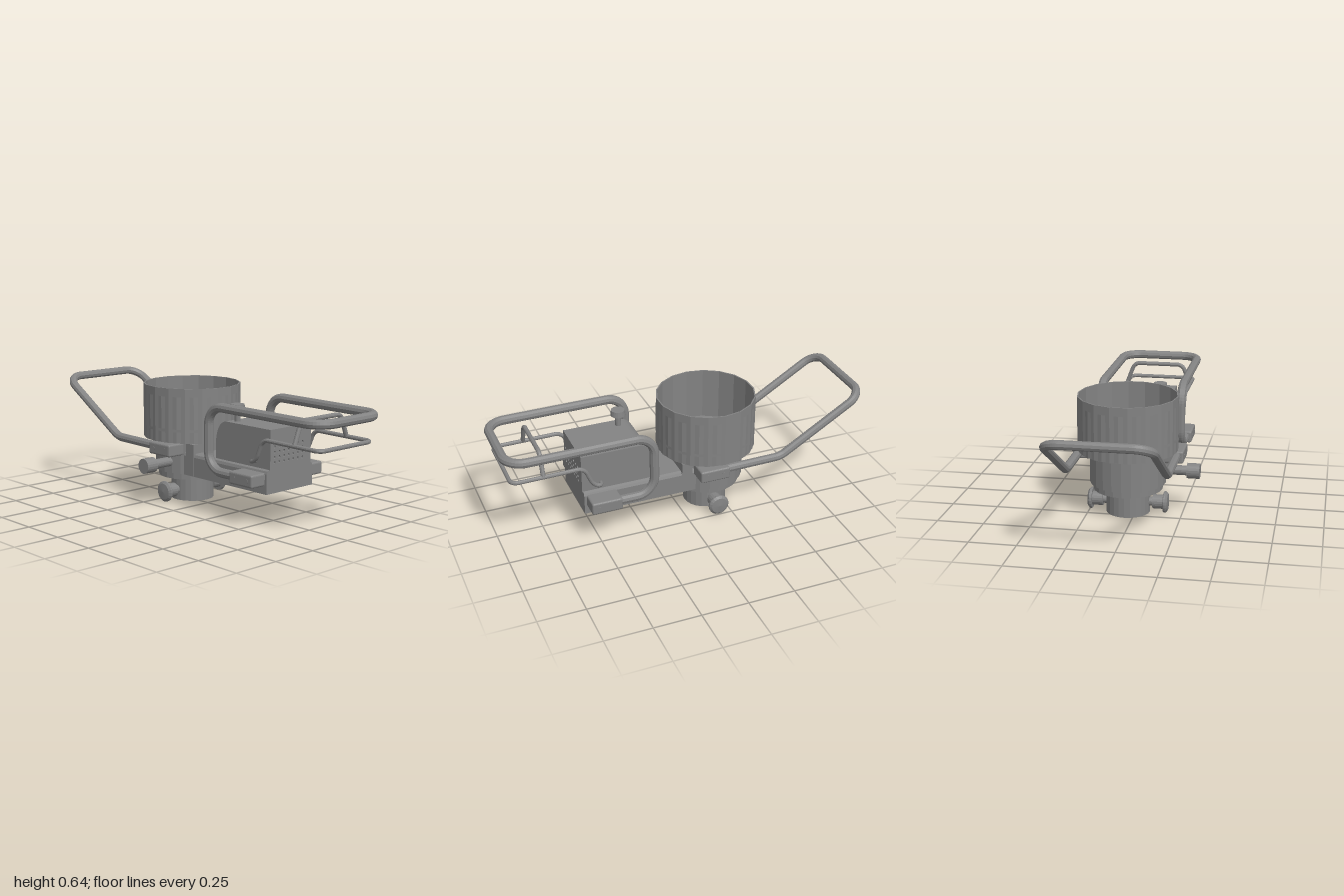
import * as THREE from 'three';
import { RoundedBoxGeometry } from 'three/addons/geometries/RoundedBoxGeometry.js';

const CX = -0.173, CZ = -0.042; // drum axis; CZ is also the mirror plane
const metal = new THREE.MeshStandardMaterial({ color: 0x838383, flatShading: true });
const metalThin = new THREE.MeshStandardMaterial({ color: 0x838383, flatShading: true, side: THREE.DoubleSide });
const V = (x, y, z) => new THREE.Vector3(x, y, z);

export function createModel() {
  const model = new THREE.Group();
  model.name = 'clampDevice';

  const add = (name, geometry, x = 0, y = 0, z = 0, material = metal) => {
    const mesh = new THREE.Mesh(geometry, material);
    mesh.name = name;
    mesh.position.set(x, y, z);
    model.add(mesh);
    return mesh;
  };

  // Vertical cylinder on the drum axis between two heights
  const disc = (name, r, y0, y1, sides = 24) =>
    add(name, new THREE.CylinderGeometry(r, r, y1 - y0, sides), CX, (y0 + y1) / 2, CZ);

  // Tube through points; bend(p) gives how far the corner at p is rounded off
  const rail = (name, points, radius, bend, segments) => {
    const path = new THREE.CurvePath();
    let last = points[0];
    for (let i = 1; i < points.length - 1; i++) {
      const p = points[i];
      const toward = q => p.clone().add(q.clone().sub(p).setLength(Math.min(bend(p), q.distanceTo(p) * 0.49)));
      const a = toward(points[i - 1]), b = toward(points[i + 1]);
      path.add(new THREE.LineCurve3(last, a));
      path.add(new THREE.CubicBezierCurve3(a, a.clone().lerp(p, 0.55), b.clone().lerp(p, 0.55), b));
      last = b;
    }
    path.add(new THREE.LineCurve3(last, points[points.length - 1]));
    add(name, new THREE.TubeGeometry(path, segments, radius, 10), 0, 0, 0, metalThin);
  };

  // Half a rail plus its mirror image across the plane z = c
  const mirrored = (half, c = CZ) => [...half, ...half.map(p => V(p.x, p.y, 2 * c - p.z)).reverse()];

  // Turned knob pointing along z; profile is [radius, distance] pairs
  const knob = (name, profile, x, y, z, dir) => {
    const g = new THREE.LatheGeometry(profile.map(p => new THREE.Vector2(...p)), 20);
    add(name, g, x, y, z).rotation.x = dir * Math.PI / 2;
  };

  // Base spigot, flange and round body
  disc('baseSpigot', 0.118, 0, 0.14);
  disc('baseFlange', 0.186, 0.135, 0.172);
  disc('roundBody', 0.203, 0.17, 0.352);

  // Open drum: thin shell with a floor
  const shell = [[0, 0.35], [0.267, 0.35], [0.267, 0.645], [0.26, 0.645], [0.26, 0.36], [0, 0.36]]
    .map(p => new THREE.Vector2(...p));
  add('drum', new THREE.LatheGeometry(shell, 18), CX, 0, CZ, metalThin);

  // Sleeves set into the drum wall, their corners just breaking its surface
  for (const [y0, y1] of [[0.352, 0.41], [0.425, 0.6]]) {
    const sleeve = new THREE.CylinderGeometry(0.267, 0.267, y1 - y0, 18, 1, true, Math.PI / 18);
    add('drumSleeve', sleeve, CX, (y0 + y1) / 2, CZ);
  }

  // Arm with chamfered top edges
  const armShape = new THREE.Shape();
  [[-0.169, 0.17], [0.169, 0.17], [0.169, 0.275], [0.163, 0.289], [0.15, 0.295],
    [-0.15, 0.295], [-0.163, 0.289], [-0.169, 0.275]]
    .forEach(([u, v], i) => (i ? armShape.lineTo(u, v) : armShape.moveTo(u, v)));
  const armGeo = new THREE.ExtrudeGeometry(armShape, { depth: 0.623, bevelEnabled: false });
  armGeo.rotateY(Math.PI / 2);
  add('arm', armGeo, -0.05, 0, CZ);
  add('armBracket', new THREE.BoxGeometry(0.06, 0.173, 0.345), 0, 0.2585, CZ);

  // Housing with a rounded rear shoulder
  const side = new THREE.Shape();
  side.moveTo(0.18, 0.29);
  side.lineTo(0.567, 0.29);
  side.lineTo(0.567, 0.5);
  side.lineTo(0.25, 0.5);
  side.quadraticCurveTo(0.19, 0.485, 0.18, 0.39);
  add('housing', new THREE.ExtrudeGeometry(side, { depth: 0.298, bevelEnabled: false, curveSegments: 8 }), 0, 0, CZ - 0.149);

  // Perforated end plate
  const plate = new THREE.Shape();
  plate.moveTo(-0.149, 0.29);
  plate.lineTo(0.149, 0.29);
  plate.lineTo(0.149, 0.5);
  plate.lineTo(-0.149, 0.5);
  for (let c = 0; c < 7; c++) for (let r = 0; r < 4; r++) {
    const hole = new THREE.Path();
    hole.absarc(-0.118 + c * 0.034, 0.329 + r * 0.027, 0.0075, 0, Math.PI * 2, true);
    plate.holes.push(hole);
  }
  const plateGeo = new THREE.ExtrudeGeometry(plate, { depth: 0.01, bevelEnabled: false, curveSegments: 6 });
  plateGeo.rotateY(Math.PI / 2);
  add('ventPlate', plateGeo, 0.567, 0, CZ);

  // Push button on top of the housing
  add('buttonStem', new THREE.CylinderGeometry(0.016, 0.016, 0.07, 16), 0.288, 0.53, 0.055);
  add('buttonCollar', new THREE.CylinderGeometry(0.027, 0.027, 0.008, 16), 0.288, 0.558, 0.055);
  add('buttonCap', new THREE.CylinderGeometry(0.036, 0.04, 0.03, 20), 0.288, 0.576, 0.055);

  // Large guard handle over the housing
  rail('guardHandle', mirrored([
    V(0.5, 0.248, 0.184), V(0.207, 0.248, 0.184), V(0.207, 0.588, 0.184), V(0.972, 0.584, 0.184),
  ]), 0.0245, () => 0.1, 220);

  // Rising carry handle behind the drum: crisp elbows, wide end corners
  rail('carryHandle', mirrored([
    V(-0.06, 0.322, 0.218), V(-0.5, 0.327, 0.218), V(-0.974, 0.614, 0.218),
  ]), 0.023, p => (p.x < -0.9 ? 0.09 : 0.03), 240);

  // Thin lower rail and its raised cross hoop
  const railPlane = -0.035;
  rail('lowerRail', mirrored([
    V(0.475, 0.328, 0.09), V(0.475, 0.328, 0.152), V(0.525, 0.345, 0.154),
    V(0.572, 0.457, 0.156), V(0.95, 0.453, 0.156),
  ], railPlane), 0.011, () => 0.035, 220);
  rail('crossHoop', mirrored([V(0.785, 0.455, 0.156), V(0.785, 0.574, 0.11)], railPlane), 0.012, () => 0.03, 80);

  for (const s of [1, -1]) {
    // Handle clamps with paired bolt heads
    const clamps = [['carryClamp', -0.11, 0.317, 0.242], ['guardClamp', 0.477, 0.246, 0.207]];
    for (const [name, x, y, d] of clamps) {
      add(name, new RoundedBoxGeometry(0.165, 0.067, 0.11, 2, 0.01), x, y, CZ + s * d);
      for (const dx of [-0.045, 0.045]) {
        const bolt = new THREE.CylinderGeometry(0.011, 0.011, 0.006, 12).rotateX(Math.PI / 2);
        add(name + 'Bolt', bolt, x + dx, y, CZ + s * (d + 0.053));
      }
    }
    // Locking screws on the base spigot
    knob('lockingScrew', [
      [0, 0], [0.025, 0], [0.025, 0.035], [0.038, 0.035], [0.038, 0.092],
      [0.054, 0.092], [0.057, 0.096], [0.057, 0.105], [0.045, 0.115], [0, 0.119],
    ], CX, 0.059, CZ + s * 0.1, s);
  }

  // Side adjusting knob on the round body
  knob('adjustingKnob', [
    [0, 0], [0.026, 0], [0.026, 0.17], [0.041, 0.17], [0.041, 0.238], [0, 0.238],
  ], -0.14, 0.232, 0.1, 1);

  return model;
}
